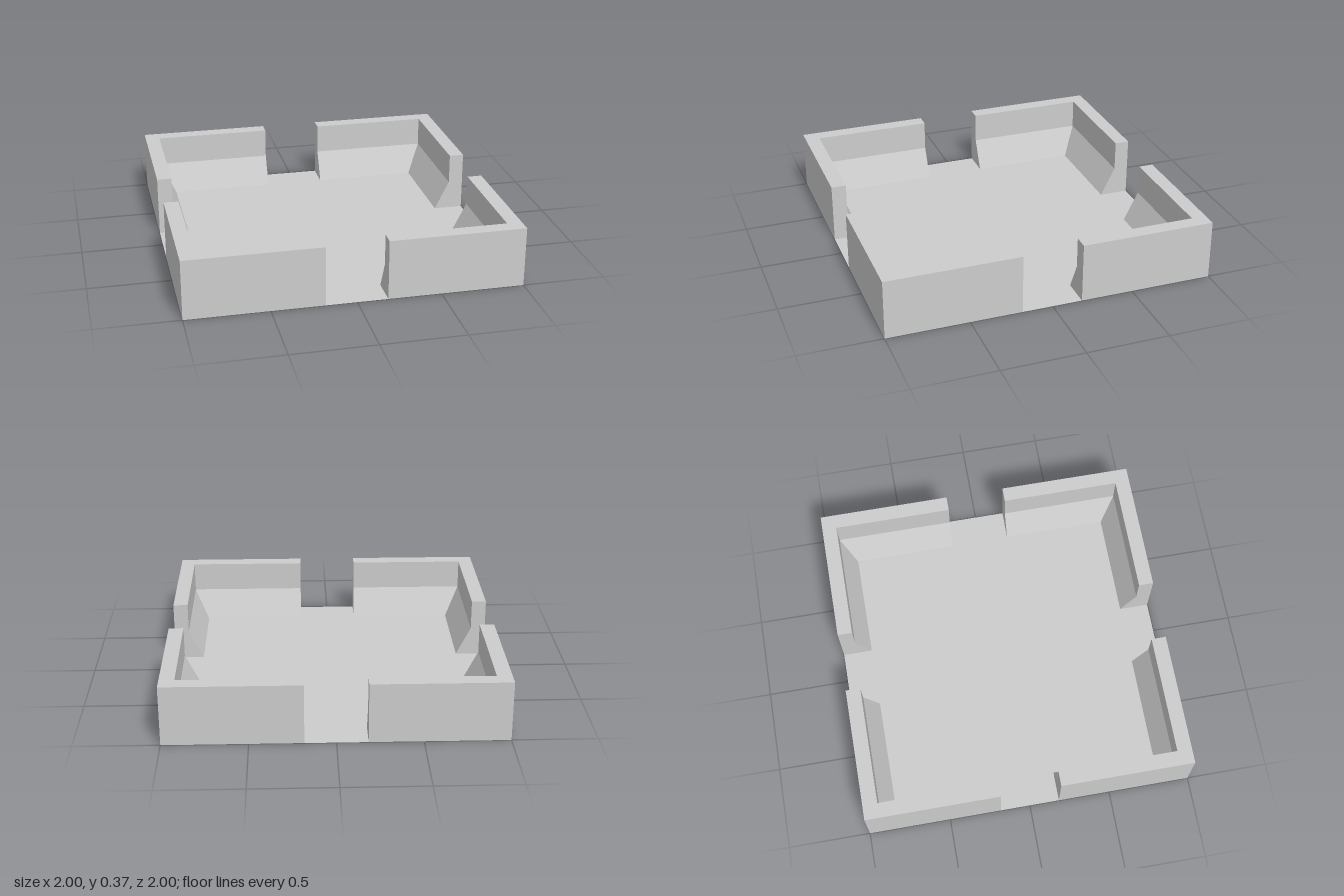
import * as THREE from 'three';

const DOOR = 0.183;   // half width of each doorway
const INNER = 0.82;   // where the sloped wall foot meets the floor

// Wall cross-section: distance from the centre, height (open underneath)
const PROFILE = [[1, 0], [1, 0.365], [0.91, 0.365], [0.91, 0.18], [INNER, 0]];

// Sweep the section from one doorway, round a mitred corner, to the next
function cornerWallGeometry() {
  const stations = [
    PROFILE.map(([d, y]) => [d, y, DOOR]),
    PROFILE.map(([d, y]) => [d, y, d]),
    PROFILE.map(([d, y]) => [DOOR, y, d]),
  ];
  const [start, , end] = stations;
  const positions = [];
  const tri = (a, b, c) => positions.push(...a, ...b, ...c);

  for (let s = 0; s < 2; s++) {
    const p = stations[s], q = stations[s + 1];
    for (let i = 0; i < PROFILE.length - 1; i++) {
      tri(p[i], p[i + 1], q[i + 1]);
      tri(p[i], q[i + 1], q[i]);
    }
  }
  // End faces beside the doorways
  for (const [a, b, c] of [[3, 4, 0], [3, 0, 1], [3, 1, 2]]) {
    tri(start[a], start[c], start[b]);
    tri(end[a], end[b], end[c]);
  }

  const geometry = new THREE.BufferGeometry();
  geometry.setAttribute('position', new THREE.Float32BufferAttribute(positions, 3));
  geometry.computeVertexNormals();
  return geometry;
}

// Square floor with a strip running out through each doorway
function floorGeometry() {
  const points = [];
  for (let k = 0; k < 4; k++) {
    const corner = [[1, -DOOR], [1, DOOR], [INNER, DOOR], [INNER, INNER], [DOOR, INNER]];
    for (const [x, y] of corner) {
      points.push(new THREE.Vector2(x, y).rotateAround(new THREE.Vector2(), k * Math.PI / 2));
    }
  }
  return new THREE.ShapeGeometry(new THREE.Shape(points)).rotateX(-Math.PI / 2);
}

export function createModel() {
  const model = new THREE.Group();
  model.name = 'walledRoom';
  const stone = new THREE.MeshStandardMaterial({ color: 0xcccccc, side: THREE.DoubleSide });
  stone.name = 'lightGrey';

  const floor = new THREE.Mesh(floorGeometry(), stone);
  floor.name = 'floor';
  model.add(floor);

  // Four identical corner walls
  const wallGeometry = cornerWallGeometry();
  ['frontLeft', 'backLeft', 'backRight', 'frontRight'].forEach((place, k) => {
    const wall = new THREE.Mesh(wallGeometry, stone);
    wall.name = place + 'CornerWall';
    wall.rotation.y = k * Math.PI / 2;
    model.add(wall);
  });

  return model;
}
